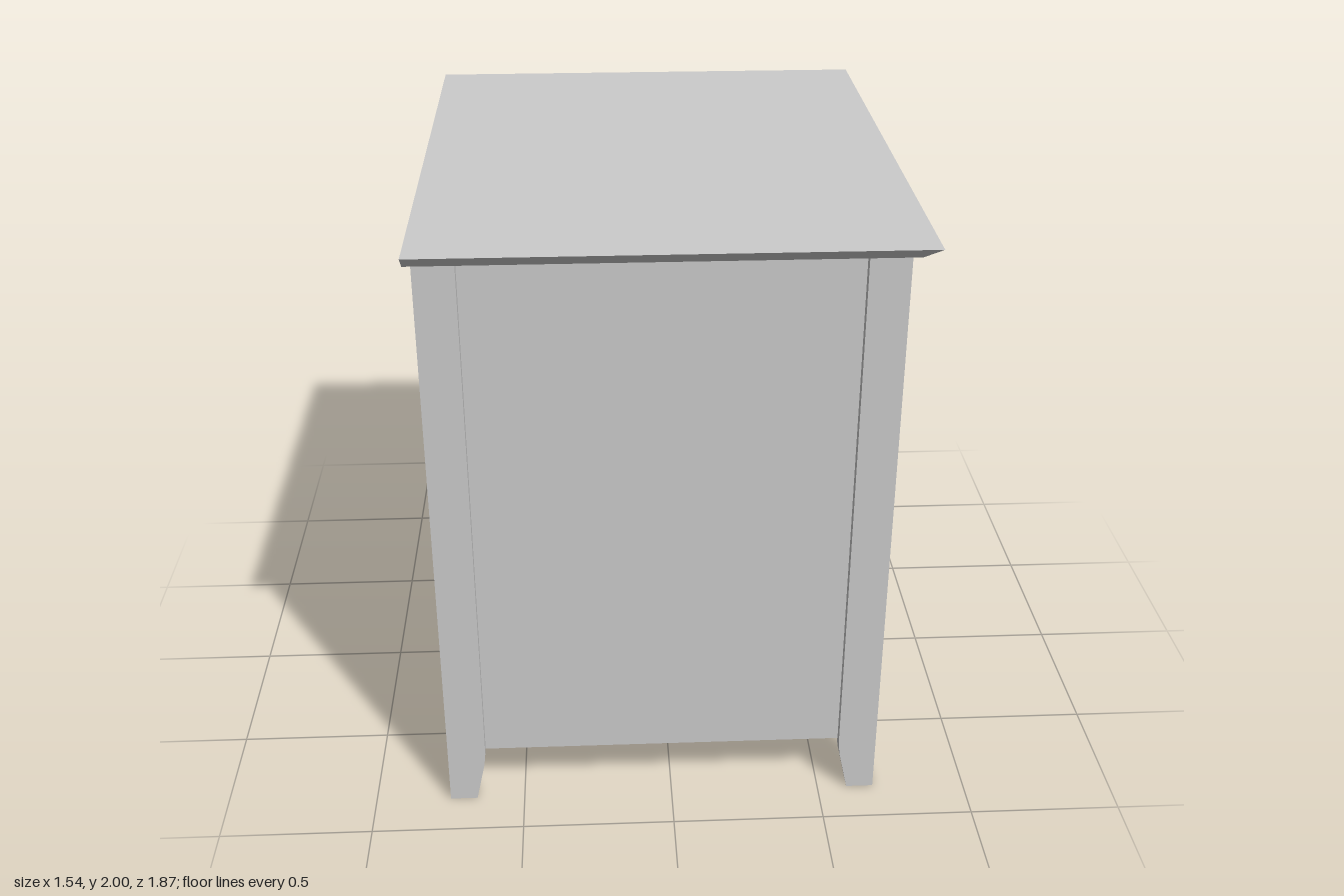
import * as THREE from 'three';

const mat = new THREE.MeshStandardMaterial({ color: 0xcccccc, side: THREE.DoubleSide });

function add(parent, name, geometry) {
  const mesh = new THREE.Mesh(geometry, mat);
  mesh.name = name;
  parent.add(mesh);
  return mesh;
}

// Box given by its min and max corners
function box(parent, name, [x0, y0, z0], [x1, y1, z1]) {
  const mesh = add(parent, name, new THREE.BoxGeometry(x1 - x0, y1 - y0, z1 - z0));
  mesh.position.set((x0 + x1) / 2, (y0 + y1) / 2, (z0 + z1) / 2);
  return mesh;
}

// Leg board: outer edge at 0, inner edge tapering towards the foot
function legBoard(start, width, foot, thickness) {
  const s = new THREE.Shape();
  s.moveTo(start, 0);
  s.lineTo(foot, 0);
  s.lineTo(width - 0.005, 0.14);
  s.lineTo(width, 0.185);
  s.lineTo(width, 1.96);
  s.lineTo(start, 1.96);
  return new THREE.ExtrudeGeometry(s, { depth: thickness, bevelEnabled: false });
}

// Corner leg made of two boards meeting in an L; sx, sz point outwards
function makeLeg(sx, sz) {
  const t = 0.05;
  const leg = new THREE.Group();
  leg.name = 'leg';
  const place = (name, geo, inX) => {
    const p = geo.attributes.position;
    for (let i = 0; i < p.count; i++) {
      const along = p.getX(i), deep = p.getZ(i);
      const dx = inX ? along : deep, dz = inX ? deep : along;
      p.setX(i, (sx > 0 ? 0.69 : -0.75) - sx * dx);
      p.setZ(i, sz * (0.85 - dz));
    }
    // Mirrored boards need their corner order turned round
    if ((inX ? sx * sz : -sx * sz) < 0) {
      const a = p.array;
      for (let i = 0; i < a.length; i += 9)
        for (let k = 0; k < 3; k++) [a[i + 3 + k], a[i + 6 + k]] = [a[i + 6 + k], a[i + 3 + k]];
    }
    geo.computeVertexNormals();
    add(leg, name, geo);
  };
  place('legSideBoard', legBoard(0, 0.125, 0.09, t), true);
  place('legFaceBoard', legBoard(t, 0.13, 0.095, t), false);
  return leg;
}

function makeKnob(y) {
  const profile = [[0, 0], [0.042, 0], [0.042, 0.005], [0.034, 0.01], [0.018, 0.014], [0.011, 0.022], [0.011, 0.04]];
  for (let i = 0; i <= 10; i++) {
    const a = -1.1 + (Math.PI / 2 + 1.1) * i / 10;
    profile.push([Math.max(0, 0.025 * Math.cos(a)), 0.057 + 0.025 * Math.sin(a)]);
  }
  const geo = new THREE.LatheGeometry(profile.map(p => new THREE.Vector2(...p)), 28);
  const knob = new THREE.Mesh(geo, mat);
  knob.name = 'knob';
  knob.rotation.z = -Math.PI / 2;
  knob.position.set(0.685, y, -0.01);
  return knob;
}

export function createModel() {
  const model = new THREE.Group();
  model.name = 'fileCabinet';

  // Carcass, set back behind the legs
  box(model, 'carcass', [-0.72, 0.185, -0.82], [0.66, 1.96, 0.82]);

  for (const sx of [-1, 1]) for (const sz of [-1, 1]) model.add(makeLeg(sx, sz));

  // Top: undercut on three edges, straight at the back (-x)
  const top = new THREE.BoxGeometry(1.53, 0.04, 1.87);
  const p = top.attributes.position;
  for (let i = 0; i < p.count; i++) {
    if (p.getY(i) > 0) continue;
    if (p.getX(i) > 0) p.setX(i, p.getX(i) - 0.05);
    p.setZ(i, p.getZ(i) - Math.sign(p.getZ(i)) * 0.045);
  }
  top.computeVertexNormals();
  add(model, 'top', top).position.set(-0.005, 1.98, 0);

  // Two drawers on the +x side
  for (const [y0, y1, knobY] of [[0.28, 1.09, 0.71], [1.13, 1.935, 1.545]]) {
    const drawer = new THREE.Group();
    drawer.name = 'drawer';
    box(drawer, 'drawerFront', [0.65, y0, -0.693], [0.685, y1, 0.693]);
    drawer.add(makeKnob(knobY));
    model.add(drawer);
  }
  return model;
}
